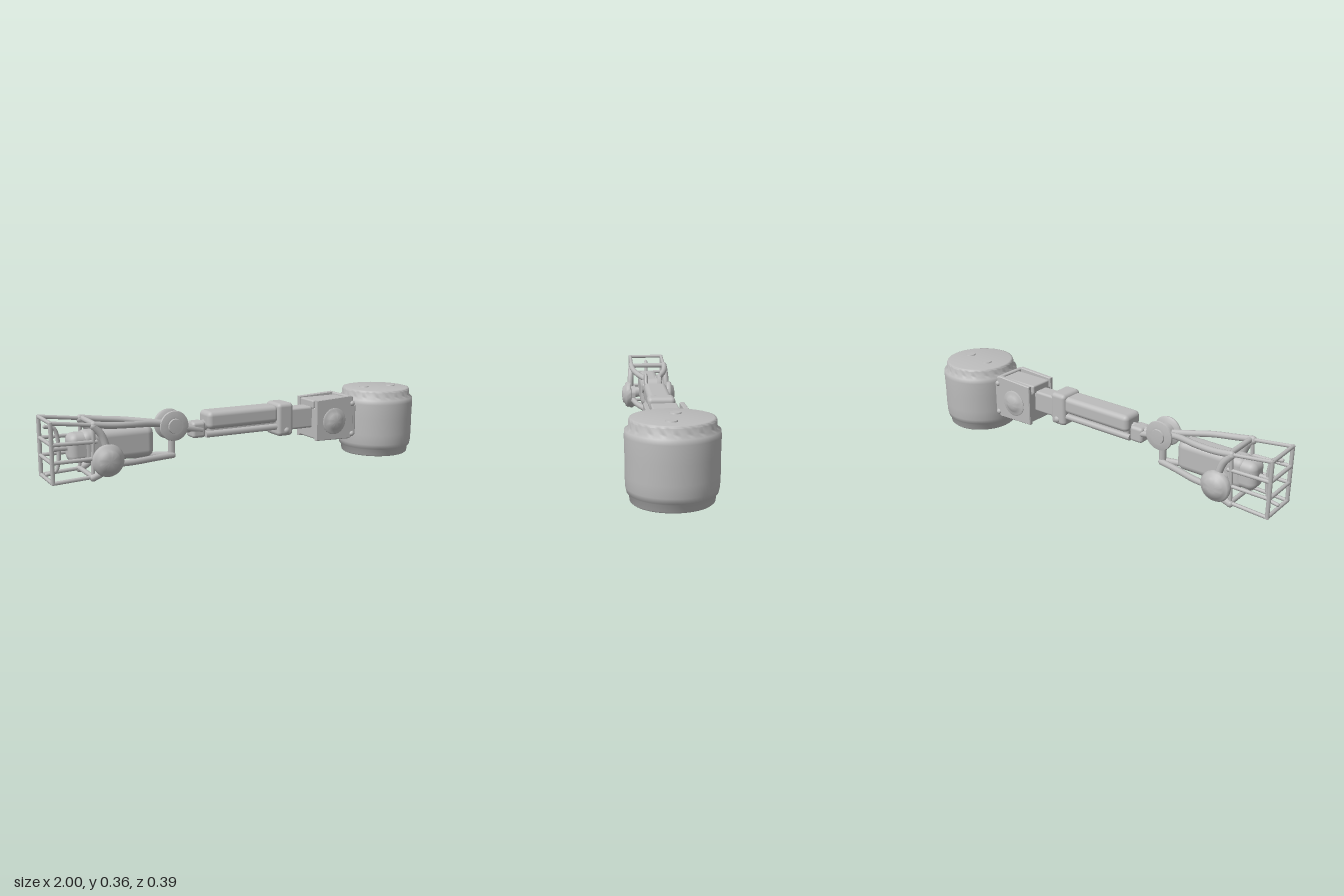
import * as THREE from 'three';
import { toCreasedNormals } from 'three/addons/utils/BufferGeometryUtils.js';
import { RoundedBoxGeometry } from 'three/addons/geometries/RoundedBoxGeometry.js';

export function createModel() {
  const model = new THREE.Group();
  model.name = 'mechanicalArm';
  const gray = new THREE.MeshStandardMaterial({ color: 0xbcbcbc });
  gray.name = 'light gray metal';

  const add = (name, geo, x = 0, y = 0, z = 0) => {
    const m = new THREE.Mesh(geo, gray);
    m.name = name;
    m.position.set(x, y, z);
    model.add(m);
    return m;
  };
  // box given by its extents
  const box = (name, x0, x1, y0, y1, z0, z1, r = 0.008) =>
    add(name, new RoundedBoxGeometry(x1 - x0, y1 - y0, z1 - z0, 3, r),
      (x0 + x1) / 2, (y0 + y1) / 2, (z0 + z1) / 2);
  // turned part from [radius, height] pairs; a larger crease angle gives softer shading
  const turned = (pts, seg = 32, crease = 0.9) => toCreasedNormals(
    new THREE.LatheGeometry(pts.map(p => new THREE.Vector2(...p)), seg), crease);
  // bent round rod
  const rod = (name, pts, r) => {
    const v = pts.map(p => new THREE.Vector3(...p));
    add(name, new THREE.TubeGeometry(new THREE.CatmullRomCurve3(v), 20, r, 10));
    for (const p of [v[0], v[v.length - 1]]) add(name + 'End', new THREE.SphereGeometry(r, 10, 8), p.x, p.y, p.z);
  };
  // straight bar between two points
  const bar = (name, a, b, r = 0.009) => {
    const p = new THREE.Vector3(...a), q = new THREE.Vector3(...b);
    const d = q.clone().sub(p);
    const m = add(name, new THREE.CylinderGeometry(r, r, d.length() + r, 8));
    m.position.copy(p).add(q).multiplyScalar(0.5);
    m.quaternion.setFromUnitVectors(new THREE.Vector3(0, 1, 0), d.normalize());
  };

  // Drum with soft stepped rims and bolts
  add('drum', turned([[0, 0.004], [0.16, 0.004], [0.168, 0.006], [0.174, 0.012], [0.176, 0.04], [0.186, 0.048],
    [0.191, 0.07], [0.193, 0.12], [0.193, 0.2], [0.195, 0.28], [0.193, 0.302], [0.18, 0.311], [0.177, 0.32],
    [0.177, 0.341], [0.173, 0.349], [0.165, 0.351], [0, 0.351]], 64, 1.3), 0.805, 0, 0);
  for (const [x, z] of [[0.74, -0.016], [0.89, 0.013]]) {
    add('drumBoltTop', new THREE.CylinderGeometry(0.024, 0.028, 0.01, 16), x, 0.351, z);
    add('drumBoltBottom', new THREE.CylinderGeometry(0.028, 0.024, 0.008, 16), x, 0.004, z);
  }

  // Shoulder bracket: core, side plates, mounting plate, pivot caps
  box('shoulderCore', 0.372, 0.62, 0.12, 0.28, -0.08, 0.08);
  box('shoulderTop', 0.365, 0.585, 0.275, 0.318, -0.06, 0.06);
  const plate = new THREE.Shape([[0.372, 0.118], [0.575, 0.112], [0.588, 0.125], [0.588, 0.322], [0.575, 0.328],
    [0.372, 0.318]].map(p => new THREE.Vector2(...p)));
  const plateGeo = new THREE.ExtrudeGeometry(plate,
    { depth: 0.014, bevelEnabled: true, bevelSize: 0.004, bevelThickness: 0.004, bevelSegments: 1 });
  const capGeo = turned([[0.068, -0.005], [0.068, 0.007], [0.06, 0.011], [0.05, 0.011], [0.04, 0.019],
    [0.02, 0.025], [0, 0.026]]);
  box('mountPlate', 0.573, 0.597, 0.115, 0.328, -0.088, 0.088);
  for (const s of [-1, 1]) {
    add('shoulderPlate', plateGeo, 0, 0, s * 0.082 - 0.007);
    add('shoulderCap', capGeo, 0.475, 0.208, s * 0.089).rotation.x = s * Math.PI / 2;
    for (const y of [0.29, 0.132]) add('bracketBolt', new THREE.SphereGeometry(0.015, 12, 8), 0.587, y, s * 0.088);
  }

  // Forearm: inner bar, collar, sleeve with rods below
  box('innerBar', 0.22, 0.4, 0.175, 0.285, -0.042, 0.042, 0.012);
  box('collar', 0.16, 0.25, 0.152, 0.318, -0.065, 0.065, 0.02);
  box('sleeve', -0.22, 0.17, 0.222, 0.308, -0.058, 0.056, 0.024);
  box('sleeveSpine', -0.21, 0.17, 0.185, 0.26, -0.035, 0.035, 0.012);
  for (const s of [-1, 1]) {
    bar('sleeveRod', [-0.22, 0.2, s * 0.038], [0.17, 0.2, s * 0.038], 0.016);
    add('collarStud', new THREE.SphereGeometry(0.02, 12, 8), 0.21, 0.18, s * 0.054);
  }

  // Wrist: connector, fork and pivot wheel
  box('wristBlock', -0.295, -0.225, 0.185, 0.262, -0.042, 0.038, 0.015);
  bar('wristPin', [-0.34, 0.235, 0], [-0.2, 0.24, 0], 0.026);
  for (const s of [-1, 1]) bar('wristFork', [-0.36, 0.248, s * 0.028], [-0.25, 0.225, s * 0.026], 0.016);
  add('wristWheel', new THREE.CylinderGeometry(0.045, 0.045, 0.09, 24), -0.39, 0.257, 0).rotation.x = Math.PI / 2;
  const wheelGeo = turned([[0, -0.008], [0.064, -0.008], [0.072, 0], [0.07, 0.008], [0.045, 0.014], [0.036, 0.014],
    [0.034, 0.021], [0, 0.023]]);
  for (const s of [-1, 1]) add('wristFlange', wheelGeo, -0.39, 0.257, s * 0.034).rotation.x = s * Math.PI / 2;
  bar('wristDrop', [-0.39, 0.21, 0], [-0.39, 0.11, 0], 0.018);

  // Tool body with rounded nose and handle
  box('toolBody', -0.84, -0.495, 0.125, 0.272, -0.056, 0.056, 0.035);
  box('toolNose', -0.895, -0.78, 0.132, 0.266, -0.052, 0.052, 0.035);
  bar('toolTip', [-0.95, 0.2, 0], [-0.88, 0.2, 0], 0.012);
  rod('toolHandle', [[-0.99, 0.305, 0], [-0.95, 0.295, 0], [-0.935, 0.25, 0], [-0.935, 0.14, 0],
    [-0.95, 0.1, 0], [-0.99, 0.09, 0]], 0.009);

  // Side rods and tool pivots
  const pivotGeo = turned([[0, -0.035], [0.05, -0.035], [0.05, -0.012], [0.07, -0.008], [0.074, 0.008], [0.066, 0.02],
    [0.052, 0.024], [0.046, 0.034], [0.02, 0.039], [0, 0.04]]);
  for (const s of [-1, 1]) {
    rod('upperRod', [[-0.42, 0.265, s * 0.012], [-0.5, 0.277, s * 0.03], [-0.61, 0.29, s * 0.07],
      [-0.72, 0.3, s * 0.09], [-0.8, 0.312, s * 0.095]], 0.015);
    rod('lowerRod', [[-0.39, 0.112, s * 0.01], [-0.48, 0.114, s * 0.032], [-0.61, 0.118, s * 0.072],
      [-0.72, 0.122, s * 0.09], [-0.78, 0.115, s * 0.095]], 0.015);
    rod('pivotStrut', [[-0.8, 0.305, s * 0.095], [-0.765, 0.26, s * 0.1], [-0.745, 0.17, s * 0.105],
      [-0.765, 0.1, s * 0.1], [-0.81, 0.075, s * 0.095]], 0.017);
    add('toolPivot', pivotGeo, -0.745, 0.15, s * 0.112).rotation.x = s * Math.PI / 2;
    bar('pivotAxle', [-0.745, 0.17, 0], [-0.745, 0.16, s * 0.1], 0.03);
  }

  // Cage: end grid, side rails and rear cross bars
  const w = 0.093, xe = -0.99;
  const rails = [[0.335, 0.31, -0.8], [0.24, 0.235, -0.79], [0.16, 0.16, -0.79], [0.07, 0.078, -0.81]];
  for (const [y0, y1, x1] of rails) {
    bar('cageEndBar', [xe, y0, -w], [xe, y0, w]);
    for (const s of [-1, 1]) bar('cageRail', [xe, y0, s * w], [x1, y1, s * w]);
  }
  for (const s of [-1, 1]) {
    bar('cagePost', [xe, 0.07, s * w], [xe, 0.335, s * w], 0.01);
    bar('cageRearPost', [-0.81, 0.078, s * w], [-0.8, 0.31, s * w]);
  }
  bar('cageTopCross', [-0.79, 0.31, -w], [-0.79, 0.31, w], 0.013);
  bar('cageBottomCross', [-0.81, 0.078, -w], [-0.81, 0.078, w], 0.011);

  return model;
}
